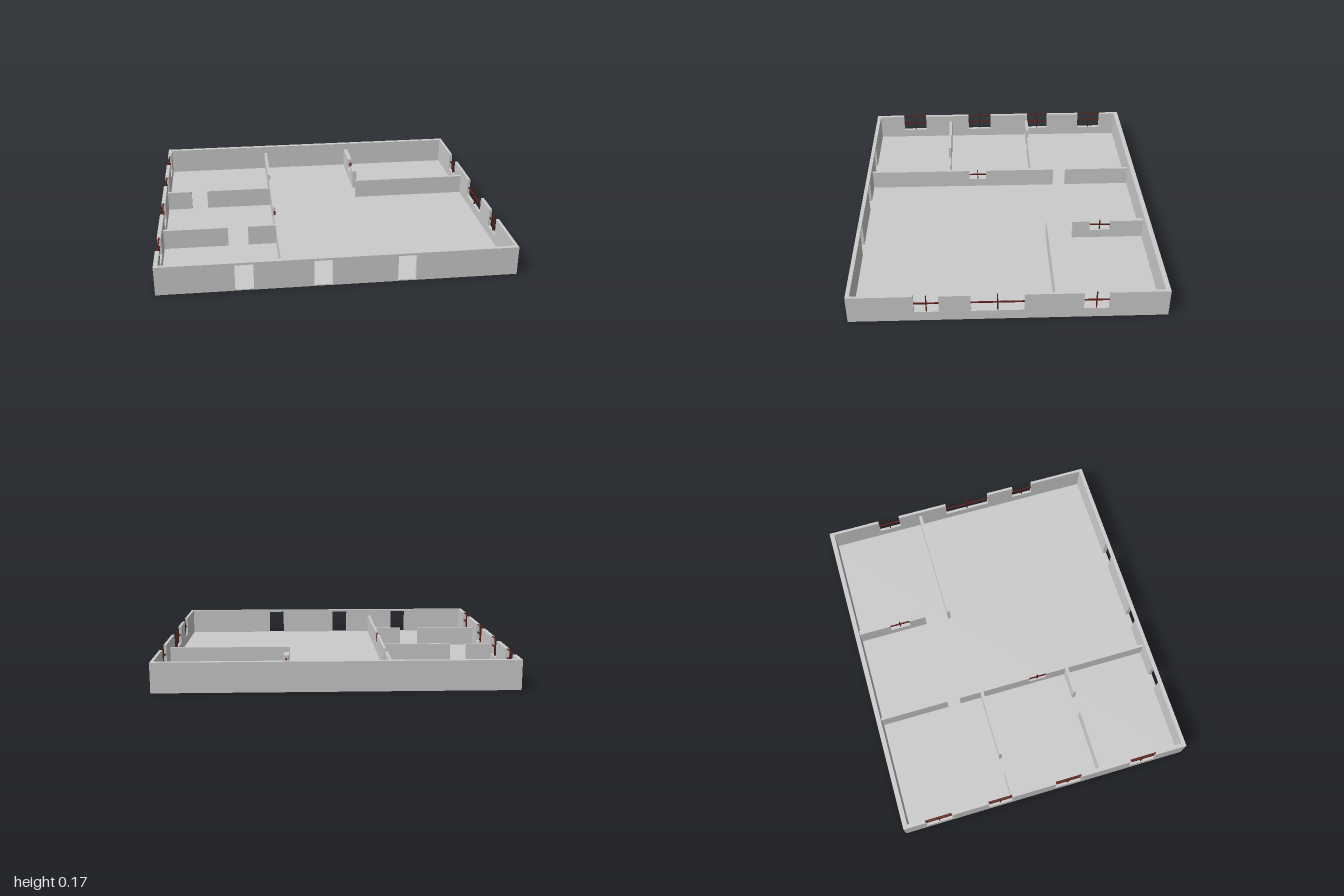
import * as THREE from 'three';

const FLOOR = 0.006, OUTER = 0.168, INNER = 0.124, SILL = 0.06, DOOR = 0.155;
const grey = new THREE.MeshStandardMaterial({ color: 0xcccccc, flatShading: true });
const brown = new THREE.MeshStandardMaterial({ color: 0x5a2018 });

export function createModel() {
  const model = new THREE.Group();

  function box(name, x0, x1, y0, y1, z0, z1, material = grey) {
    const mesh = new THREE.Mesh(new THREE.BoxGeometry(x1 - x0, y1 - y0, z1 - z0), material);
    mesh.position.set((x0 + x1) / 2, (y0 + y1) / 2, (z0 + z1) / 2);
    mesh.name = name;
    model.add(mesh);
  }

  // Wall outline from a to b, with doors cut from below and windows cut from above
  function wallGeometry(a, b, height, thickness, doors, windows) {
    const points = [[a, 0]];
    for (const [d0, d1] of doors) points.push([d0, 0], [d0, DOOR], [d1, DOOR], [d1, 0]);
    points.push([b, 0], [b, height]);
    for (const [w0, w1] of [...windows].reverse())
      points.push([w1, height], [w1, SILL], [w0, SILL], [w0, height]);
    points.push([a, height]);
    const shape = new THREE.Shape(points.map(([u, v]) => new THREE.Vector2(u, v)));
    return new THREE.ExtrudeGeometry(shape, { depth: thickness, bevelEnabled: false });
  }

  // Wall running along x
  function wallX(name, x0, x1, z0, z1, height, doors = []) {
    const mesh = new THREE.Mesh(wallGeometry(x0, x1, height, z1 - z0, doors, []), grey);
    mesh.position.z = z0;
    mesh.name = name;
    model.add(mesh);
  }

  // Wall running along z, with crossed glazing bars in each window
  function wallZ(name, x0, x1, z0, z1, height, windows = [], topRail = false) {
    const geometry = wallGeometry(z0, z1, height, x1 - x0, [], windows);
    geometry.rotateY(-Math.PI / 2); // u becomes +z, depth becomes -x
    const mesh = new THREE.Mesh(geometry, grey);
    mesh.position.x = x1;
    mesh.name = name;
    model.add(mesh);
    const x = (x0 + x1) / 2, t = 0.004, middle = (SILL + height) / 2;
    for (const [w0, w1] of windows) {
      const z = (w0 + w1) / 2;
      box('windowCrossbar', x - t, x + t, middle - 0.003, middle + 0.003, w0, w1, brown);
      box('windowUpright', x - t, x + t, SILL, height, z - 0.003, z + 0.003, brown);
      if (topRail) box('windowTopRail', x - t, x + t, height - 0.003, height + 0.001, w0, w1, brown);
    }
  }

  box('floor', -1, 1, 0, FLOOR, -0.878, 0.875);

  // Outer walls
  wallX('frontWall', -1, 1, 0.853, 0.876, OUTER, [[-0.572, -0.47], [-0.142, -0.04], [0.323, 0.425]]);
  wallX('backWall', -1, 1, -0.878, -0.85, OUTER);
  wallZ('leftWall', 0.983, 1, -0.85, 0.853, OUTER, [[-0.548, -0.41], [-0.087, 0.205], [0.378, 0.513]]);
  wallZ('rightWall', -1, -0.977, -0.85, 0.853, OUTER,
    [[-0.745, -0.585], [-0.36, -0.215], [0.055, 0.215], [0.525, 0.685]], true);

  // Long partition with a doorway gap
  wallZ('rearPartition', -0.316, -0.3, -0.85, -0.43, INNER);
  wallZ('longPartition', -0.316, -0.3, -0.35, 0.853, INNER, [[0.1, 0.21]]);

  // Cross partitions of the small rooms
  for (const [x0, x1, z] of [[-0.977, -0.825, -0.208], [-0.725, -0.316, -0.208],
    [-0.977, -0.6, 0.345], [-0.48, -0.316, 0.345]])
    wallX('crossPartition', x0, x1, z - 0.009, z + 0.009, INNER);

  // Corner room
  wallZ('cornerRoomSideWall', 0.266, 0.294, -0.85, -0.42, INNER, [[-0.65, -0.525]]);
  wallX('cornerRoomFrontWall', 0.262, 0.983, -0.276, -0.258, INNER);

  return model;
}
